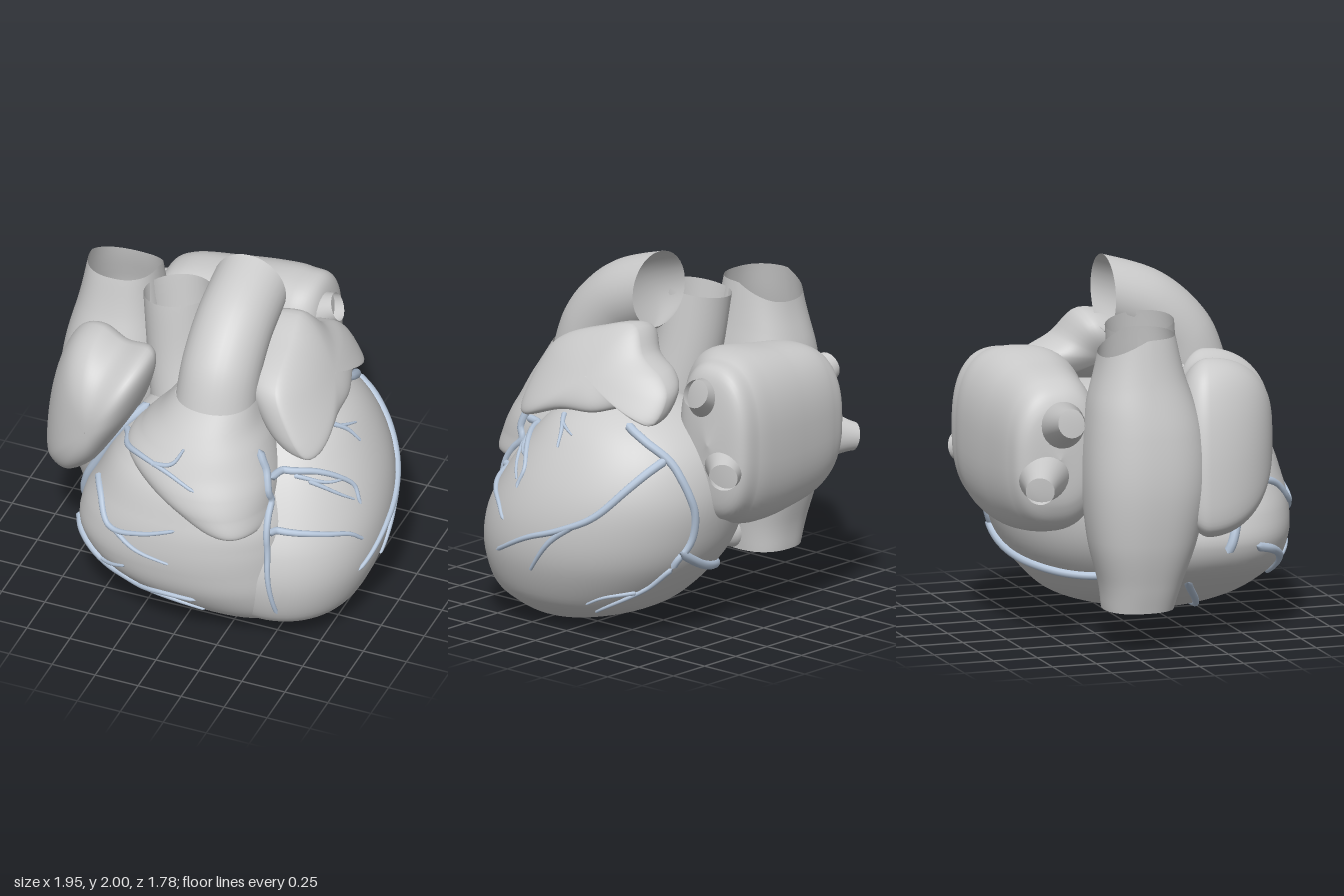
import * as THREE from 'three';
import { ParametricGeometry } from 'three/addons/geometries/ParametricGeometry.js';

const grey = new THREE.MeshStandardMaterial({ color: 0xcccccc });
const greyOpen = new THREE.MeshStandardMaterial({ color: 0xcccccc, side: THREE.DoubleSide });
const vesselBlue = new THREE.MeshStandardMaterial({ color: 0xb4c4d8 });

const V = (x, y, z) => new THREE.Vector3(x, y, z);

function part(name, geometry, material = grey) {
  const mesh = new THREE.Mesh(geometry, material);
  mesh.name = name;
  return mesh;
}

// Smooth loft through [height, x0, x1, z0, z1] sections, each a (super)ellipse
function loft(sections, power = 2, place = (p) => p) {
  const lo = new THREE.CatmullRomCurve3(sections.map((s) => V(s[1], s[0], s[3])), false, 'catmullrom', 0.5);
  const hi = new THREE.CatmullRomCurve3(sections.map((s) => V(s[2], s[0], s[4])), false, 'catmullrom', 0.5);
  const bend = (c) => Math.sign(c) * Math.abs(c) ** (2 / power);
  return new ParametricGeometry((u, v, p) => {
    const a = lo.getPoint(u), b = hi.getPoint(u), t = v * Math.PI * 2;
    p.set(
      (a.x + b.x) / 2 + ((b.x - a.x) / 2) * bend(Math.cos(t)), a.y,
      (a.z + b.z) / 2 + ((b.z - a.z) / 2) * bend(Math.sin(t)));
    place(p);
  }, 56, 64);
}

// Cushion with a clockwise outline; place(a, b, h, p) puts it in space, h = -1 back to 1 front
function cushion(outline, center, place) {
  const curve = new THREE.CatmullRomCurve3(outline.map(([a, b]) => V(a, b, 0)), true, 'catmullrom', 0.5);
  return new ParametricGeometry((u, v, p) => {
    const phi = (u - 0.5) * Math.PI * 0.998;
    const s = Math.cos(phi) ** 0.75, q = curve.getPoint(v % 1);
    place(center[0] + (q.x - center[0]) * s, center[1] + (q.y - center[1]) * s, Math.sin(phi), p);
  }, 40, 72);
}

// Tube with a radius that changes along its path
function taperedTube(points, radiusAt, steps = 32, sides = 32) {
  const curve = new THREE.CatmullRomCurve3(points);
  const geo = new THREE.TubeGeometry(curve, steps, 1, sides, false);
  const pos = geo.attributes.position, v = V(0, 0, 0);
  for (let i = 0; i <= steps; i++) {
    const c = curve.getPointAt(i / steps), r = radiusAt(i / steps);
    for (let j = 0; j <= sides; j++) {
      const k = i * (sides + 1) + j;
      v.fromBufferAttribute(pos, k).sub(c).multiplyScalar(r).add(c);
      pos.setXYZ(k, v.x, v.y, v.z);
    }
  }
  return geo;
}

export function createModel() {
  const heart = new THREE.Group();
  heart.name = 'heart';

  // Ventricles
  const leftVentricle = part('leftVentricle', loft([
    [0.01, 0.42, 0.44, 0.17, 0.19], [0.03, 0.22, 0.63, -0.02, 0.38], [0.1, 0.05, 0.76, -0.25, 0.55],
    [0.2, -0.1, 0.85, -0.4, 0.67], [0.4, -0.24, 0.93, -0.57, 0.725], [0.6, -0.29, 0.945, -0.65, 0.7],
    [0.8, -0.27, 0.905, -0.67, 0.6], [1, -0.2, 0.81, -0.61, 0.47], [1.15, -0.05, 0.69, -0.46, 0.32],
    [1.25, 0.1, 0.52, -0.25, 0.12], [1.27, 0.3, 0.31, -0.05, -0.04]], 2.1,
  (p) => p.setX(p.x + 0.07 * p.z)));
  const rightVentricle = part('rightVentricle', loft([
    [0.02, 0.29, 0.3, 0.24, 0.25], [0.04, 0.1, 0.49, 0.1, 0.42], [0.1, -0.1, 0.58, -0.02, 0.59],
    [0.2, -0.33, 0.62, -0.08, 0.72], [0.35, -0.56, 0.62, -0.12, 0.825], [0.5, -0.65, 0.61, -0.14, 0.865],
    [0.65, -0.63, 0.6, -0.14, 0.87], [0.8, -0.56, 0.57, -0.12, 0.845], [1, -0.46, 0.45, -0.1, 0.77],
    [1.14, -0.34, 0.3, -0.05, 0.6], [1.2, -0.1, -0.09, 0.2, 0.21]], 2.4));
  const outflow = part('rightOutflowCone', loft([
    [0.765, 0.3, 0.4, 0.3, 0.72], [0.79, 0.12, 0.49, 0.12, 0.845], [0.9, -0.12, 0.49, 0.1, 0.865],
    [1, -0.28, 0.48, 0.1, 0.845], [1.1, -0.36, 0.45, 0.1, 0.8], [1.2, -0.29, 0.41, 0.1, 0.745],
    [1.3, -0.2, 0.36, 0.12, 0.68], [1.41, -0.12, 0.325, 0.16, 0.6]], 2.2), greyOpen);
  const walls = [leftVentricle, rightVentricle, outflow];
  heart.add(...walls);

  // Pulmonary trunk: rings turn from level at the cone to upright at the open end
  const trunkAxis = new THREE.CatmullRomCurve3(
    [V(0.1, 1.4, 0.38), V(0.1, 1.54, 0.31), V(0.1, 1.69, 0.15), V(0.1, 1.79, -0.08)]);
  heart.add(part('pulmonaryTrunk', new ParametricGeometry((u, v, p) => {
    const t = v * Math.PI * 2, turn = (u * Math.PI) / 2, r = 0.222 - 0.012 * u;
    p.copy(trunkAxis.getPoint(u)).add(
      V(Math.cos(t), Math.sin(t) * Math.sin(turn), Math.sin(t) * Math.cos(turn)).multiplyScalar(r));
  }, 40, 32), greyOpen));

  // Aorta with its three-cusp valve
  heart.add(part('aorta', taperedTube(
    [V(-0.18, 0.95, 0.12), V(-0.25, 1.35, 0.03), V(-0.29, 1.7, -0.01)], () => 0.187), greyOpen));
  const valve = new THREE.Group();
  valve.name = 'aorticValve';
  for (let i = 0; i < 3; i++) {
    const a = (i * Math.PI * 2) / 3;
    const cusp = part('valveCusp', new THREE.SphereGeometry(0.09, 20, 10, 0, Math.PI * 2, Math.PI / 2, Math.PI / 2), greyOpen);
    cusp.position.set(-0.23 + 0.08 * Math.cos(a), 1.22, 0.06 + 0.08 * Math.sin(a));
    valve.add(cusp);
  }
  heart.add(valve);

  // Right atrium with both great veins as one open channel; the upper rim drops toward the back
  heart.add(part('rightAtriumAndVenaCava', loft([
    [0.22, -0.85, -0.47, -0.34, 0.04], [0.36, -0.89, -0.45, -0.36, 0.08], [0.6, -0.95, -0.41, -0.42, 0.16],
    [0.9, -0.98, -0.38, -0.45, 0.22], [1.2, -0.955, -0.38, -0.44, 0.2], [1.5, -0.89, -0.43, -0.4, 0.1],
    [1.72, -0.85, -0.46, -0.36, 0.05]], 2.4, (p) =>
    p.setY(p.y - 0.5 * Math.max(0, -0.15 - p.z) * THREE.MathUtils.smoothstep(p.y, 1.3, 1.72))), greyOpen));
  const sinus = part('coronarySinus', new THREE.SphereGeometry(0.1, 24, 16));
  sinus.scale.set(0.8, 1.1, 1);
  sinus.position.set(-0.48, 0.33, -0.08);
  heart.add(sinus);

  // Auricles
  heart.add(part('rightAuricle', cushion([
    [-0.93, 0.75], [-0.91, 1.05], [-0.85, 1.32], [-0.76, 1.49], [-0.63, 1.55], [-0.48, 1.51], [-0.32, 1.54],
    [-0.28, 1.45], [-0.34, 1.22], [-0.46, 0.98], [-0.6, 0.76], [-0.77, 0.62], [-0.89, 0.64]],
  [-0.56, 1.12], (x, y, h, p) =>
    p.set(x, y, 0.18 + 0.27 * (x + 0.93) + h * (h > 0 ? 0.37 : 0.18)))));
  heart.add(part('leftAuricle', cushion([
    [0.45, 1.19], [0.41, 1.42], [0.31, 1.53], [0.1, 1.61], [-0.14, 1.66], [-0.27, 1.52], [-0.42, 1.43],
    [-0.49, 1.33], [-0.46, 1.2], [-0.3, 1.27], [-0.1, 1.22], [0.12, 1.2], [0.38, 1.12]],
  [-0.02, 1.4], (z, y, h, p) =>
    p.set(0.53 - 0.62 * (y - 1.4) - 0.35 * z * z + h * (h > 0 ? 0.09 : 0.32), y, z))));

  // Left atrium, lofted from right to left
  heart.add(part('leftAtrium', loft([
    [-0.63, -0.58, -0.57, 1.05, 1.06], [-0.6, -0.77, -0.38, 0.78, 1.34], [-0.48, -0.83, -0.3, 0.64, 1.46],
    [-0.2, -0.87, -0.25, 0.58, 1.51], [0.03, -0.89, -0.22, 0.57, 1.54], [0.18, -0.89, -0.33, 0.62, 1.52],
    [0.31, -0.86, -0.44, 0.72, 1.45], [0.36, -0.67, -0.66, 1.08, 1.09]], 2.5,
  (p) => p.set(p.y, p.z, p.x))));

  // Pulmonary veins: broadly flared at the root, open at the tip
  [[[0.12, 1.26, -0.58], [0.39, 1.37, -0.61]], [[0.12, 1, -0.64], [0.39, 0.94, -0.81]],
    [[-0.42, 1.2, -0.56], [-0.74, 1.27, -0.55]], [[-0.42, 0.98, -0.6], [-0.74, 0.91, -0.73]],
  ].forEach(([root, tip]) => {
    const a = V(...root), b = V(...tip);
    heart.add(part('pulmonaryVein', taperedTube([a, a.clone().lerp(b, 0.5), b],
      (t) => 0.078 + 0.15 * (1 - t) ** 1.3, 20, 28), greyOpen));
  });

  // Coronary vessels, laid onto the ventricle walls by casting rays at them
  const vessels = new THREE.Group();
  vessels.name = 'coronaryVessels';
  const ray = new THREE.Raycaster();
  const core = V(0.1, 0.6, 0.15);
  const cast = {
    front: (p) => [V(p.x, p.y, 3), V(0, 0, -1)],
    side: (p) => [V(3, p.y, p.x), V(-1, 0, 0)],
    below: (p) => [V(p.x, -3, p.y), V(0, 1, 0)],
    around: (p) => {
      const d = p.clone().sub(core).normalize();
      return [core.clone().addScaledVector(d, 3), d.negate()];
    },
  };
  function vessel(from, r, points, endScale = 0.45) {
    const line = new THREE.CatmullRomCurve3(points.map((p) => V(p[0], p[1], p[2] || 0)));
    const path = [];
    for (const p of line.getSpacedPoints(16)) {
      ray.set(...cast[from](p));
      const hit = ray.intersectObjects(walls)[0];
      if (hit) path.push(hit.point.addScaledVector(ray.ray.direction, -0.3 * r));
    }
    if (path.length < 3) return;
    vessels.add(part('vessel', taperedTube(path,
      (t) => (t === 0 || t === 1 ? 0.002 : r * (1 - (1 - endScale) * t)), 40, 10), vesselBlue));
  }

  // Right main vessel and its front branches
  vessel('around', 0.03, [[-0.3, 1.18, 0.35], [-0.4, 1.08, 0.42], [-0.53, 0.88, 0.45], [-0.6, 0.68, 0.42], [-0.63, 0.48, 0.36]], 0.9);
  vessel('around', 0.02, [[-0.6, 0.68, 0.42], [-0.62, 0.65, 0.25], [-0.62, 0.62, 0.1]], 0.9);
  vessel('front', 0.021, [[-0.39, 1.08], [-0.22, 1.13], [-0.05, 1.12], [0.15, 1.05]]);
  vessel('front', 0.016, [[-0.12, 1.125], [0, 1.16], [0.05, 1.24]]);
  vessel('front', 0.022, [[-0.54, 0.85], [-0.45, 0.81], [-0.35, 0.68], [-0.15, 0.71], [0.05, 0.78]]);
  vessel('front', 0.016, [[-0.32, 0.68], [-0.18, 0.6], [0.02, 0.56]]);
  vessel('front', 0.026, [[-0.63, 0.5], [-0.45, 0.4], [-0.25, 0.28], [-0.05, 0.31], [0.15, 0.31]]);
  vessel('front', 0.018, [[-0.27, 0.285], [0, 0.25], [0.17, 0.2]]);
  vessel('front', 0.018, [[-0.55, 0.46], [-0.42, 0.39], [-0.25, 0.45]]);

  // Front descending vessel and branches
  vessel('front', 0.026, [[0.4, 1.2], [0.46, 1.05], [0.5, 0.8], [0.53, 0.5], [0.57, 0.25]]);
  vessel('front', 0.023, [[0.47, 1.03], [0.68, 1], [0.82, 0.9], [0.88, 0.78]]);
  vessel('front', 0.022, [[0.51, 0.76], [0.75, 0.72], [0.87, 0.67], [0.92, 0.6]]);
  vessel('side', 0.014, [[0.42, 1], [0.35, 0.95], [0.24, 0.93]]);
  vessel('side', 0.014, [[0.4, 0.97], [0.33, 0.88], [0.27, 0.82]]);
  vessel('side', 0.016, [[0.12, 1.17], [0.06, 1.11], [0.03, 1.03]]);
  vessel('side', 0.012, [[0.09, 1.14], [0.03, 1.12], [-0.03, 1.1]]);

  // Circling vessel on the left and back, with its branches
  vessel('side', 0.026, [[-0.28, 1.18], [-0.42, 1.1], [-0.53, 1.02], [-0.6, 0.92], [-0.65, 0.75], [-0.62, 0.55], [-0.54, 0.4]], 0.8);
  vessel('side', 0.026, [[-0.53, 1.02], [-0.45, 0.9], [-0.3, 0.72], [-0.1, 0.62], [0.1, 0.55], [0.36, 0.42]]);
  vessel('side', 0.02, [[-0.18, 0.655], [-0.05, 0.55], [0.1, 0.36]]);
  vessel('side', 0.018, [[-0.54, 0.4], [-0.42, 0.28], [-0.15, 0.12]]);
  vessel('side', 0.014, [[-0.38, 0.26], [-0.25, 0.23], [-0.15, 0.18]]);
  vessel('around', 0.026, [[0.5, 0.5, -0.6], [0.3, 0.4, -0.55], [0.05, 0.33, -0.42], [-0.2, 0.25, -0.15]], 0.9);
  vessel('below', 0.024, [[-0.15, -0.15], [0, 0.1], [0.2, 0.28], [0.38, 0.42]], 0.7);
  vessel('below', 0.022, [[-0.48, 0.2], [-0.25, 0.32], [0.05, 0.42], [0.36, 0.45]], 0.6);
  heart.add(vessels);

  return heart;
}
